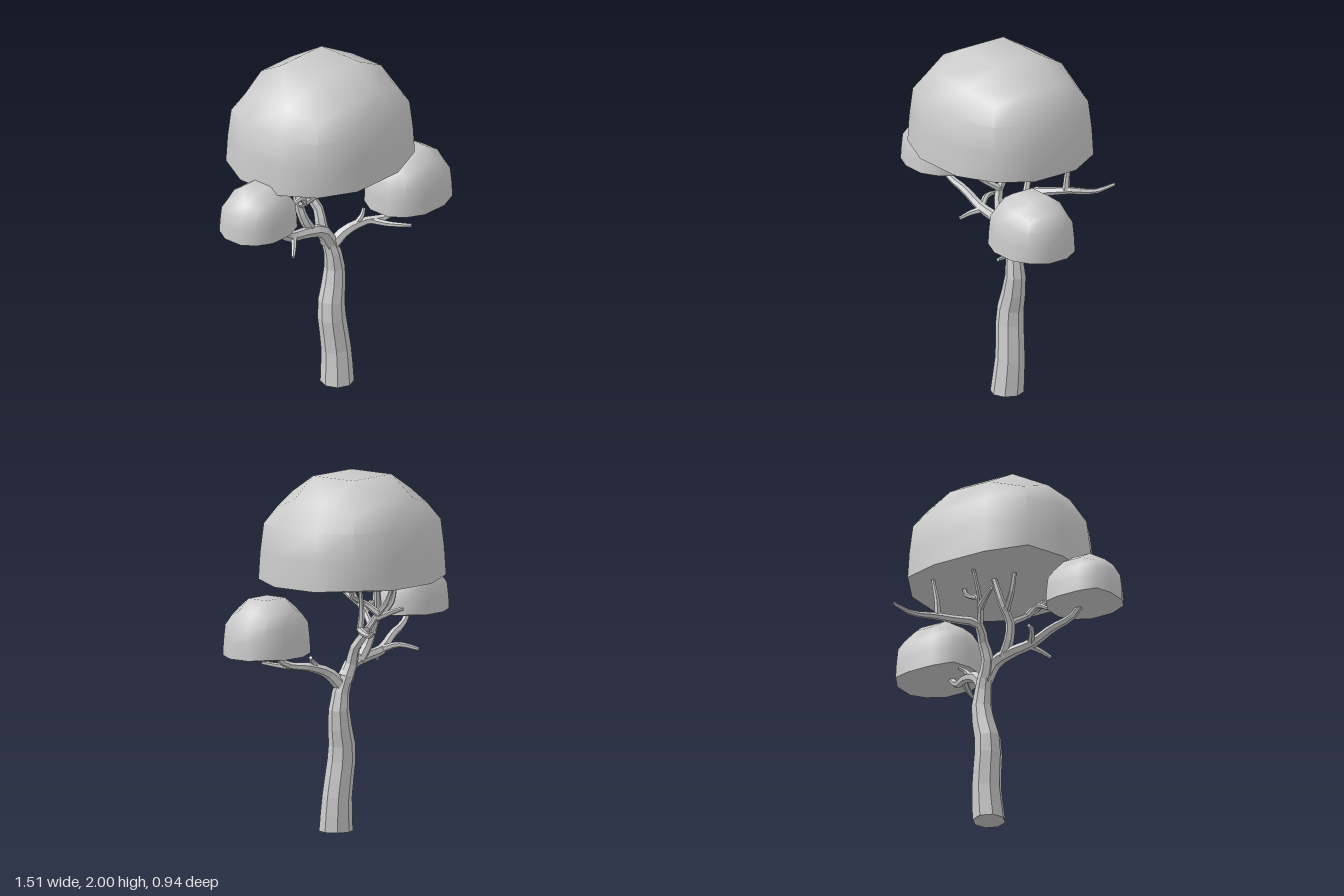
import * as THREE from 'three';
import { mergeVertices, toCreasedNormals } from 'three/addons/utils/BufferGeometryUtils.js';

const smooth = new THREE.MeshStandardMaterial({ color: 0xcccccc });
const faceted = new THREE.MeshStandardMaterial({ color: 0xcccccc, flatShading: true });

// Tapered limb through a few points; radii are spread evenly along its length
function limb(name, points, radii, sides = 6, segments = points.length * 2) {
  const group = new THREE.Group();
  group.name = name;
  const curve = new THREE.CatmullRomCurve3(points.map(p => new THREE.Vector3(...p)), false, 'centripetal');
  const radiusAt = u => {
    const f = u * (radii.length - 1), i = Math.min(Math.floor(f), radii.length - 2);
    return THREE.MathUtils.lerp(radii[i], radii[i + 1], f - i);
  };
  const geo = new THREE.TubeGeometry(curve, segments, 1, sides);
  const pos = geo.attributes.position, v = new THREE.Vector3();
  for (let i = 0; i < pos.count; i++) {
    const u = Math.floor(i / (sides + 1)) / segments;
    const centre = curve.getPointAt(u);
    v.fromBufferAttribute(pos, i).sub(centre).multiplyScalar(radiusAt(u)).add(centre);
    if (u === 0 && points[0][1] === 0) v.y = 0; // flat foot on the ground
    pos.setXYZ(i, v.x, v.y, v.z);
  }
  group.add(new THREE.Mesh(geo, faceted));

  // Blunt end
  const cap = new THREE.Mesh(new THREE.CircleGeometry(radii[radii.length - 1], sides), faceted);
  cap.position.copy(curve.getPointAt(1));
  cap.quaternion.setFromUnitVectors(new THREE.Vector3(0, 0, 1), curve.getTangentAt(1));
  group.add(cap);
  return group;
}

// Leaf dome: a 3x3x3 box rounded to a ball, its lower half flattened and widened
function canopy(name, [x0, x1], [y0, y1], [z0, z1]) {
  let geo = new THREE.BoxGeometry(2, 2, 2, 3, 3, 3);
  geo.deleteAttribute('uv');
  geo.deleteAttribute('normal');
  geo = mergeVertices(geo);
  const pos = geo.attributes.position, n = new THREE.Vector3();
  for (let i = 0; i < pos.count; i++) {
    n.fromBufferAttribute(pos, i);
    const row = Math.round((n.y + 1) * 1.5);
    const corner = Math.abs(n.x) > 0.9 && Math.abs(n.z) > 0.9;
    n.normalize();
    const spread = [corner ? 1.25 : 1.315, corner ? 1.03 : 0.99, corner ? 0.99 : 0.95, 1][row] / 0.905;
    const height = [(0.905 + n.y) * 0.22, 0.32, 0.58, 1 - (0.905 - n.y) * 0.82][row];
    pos.setXYZ(i,
      (x0 + x1) / 2 + n.x * spread * (x1 - x0) / 2,
      y0 + height * (y1 - y0),
      (z0 + z1) / 2 + n.z * spread * (z1 - z0) / 2);
  }
  const mesh = new THREE.Mesh(toCreasedNormals(geo, 0.8), smooth);
  mesh.name = name;
  return mesh;
}

export function createModel() {
  const tree = new THREE.Group();
  tree.name = 'tree';

  // Leaves
  tree.add(
    canopy('mainCanopy', [-0.51, 0.49], [1.38, 2], [-0.41, 0.465]),
    canopy('leftCanopy', [0.275, 0.755], [1.01, 1.35], [0.01, 0.41]),
    canopy('rightCanopy', [-0.755, -0.335], [1.155, 1.445], [-0.125, 0.23]));

  // Trunk with its foot
  tree.add(limb('trunk',
    [[0.093, 0, 0.06], [0.1, 0.2, 0.045], [0.078, 0.46, 0.028], [0.115, 0.66, 0.02], [0.1, 0.8, 0.015], [0.08, 0.88, 0]],
    [0.095, 0.083, 0.079, 0.062, 0.04], 8, 9));
  const foot = new THREE.Mesh(new THREE.CircleGeometry(0.093, 8).rotateX(Math.PI / 2), faceted);
  foot.name = 'trunkFoot';
  foot.position.set(0.093, 0.001, 0.06);
  tree.add(foot);

  // Main boughs
  const boughs = {
    leftBough: [[[0.1, 0.82, 0.01], [0.17, 0.9, 0.05], [0.27, 0.94, 0.1], [0.38, 0.96, 0.18], [0.46, 1.04, 0.22]], [0.04, 0.025, 0.016]],
    rightBough: [[[0.09, 0.84, 0.01], [0.02, 0.94, 0.01], [-0.1, 0.97, 0], [-0.23, 0.99, 0], [-0.35, 1.06, 0.02], [-0.47, 1.11, 0.04], [-0.54, 1.2, 0.05]], [0.045, 0.032, 0.025, 0.015]],
    backBough: [[[0.08, 0.85, 0], [0.05, 0.95, -0.02], [0.06, 1.04, -0.05], [0.05, 1.13, -0.12], [0.16, 1.16, -0.19], [0.25, 1.18, -0.25], [0.33, 1.17, -0.38], [0.39, 1.21, -0.47]], [0.042, 0.03, 0.025, 0.019, 0.009]],
    centreBough: [[[-0.04, 0.95, 0], [-0.09, 1.04, -0.02], [-0.11, 1.13, -0.04], [-0.09, 1.23, -0.09], [-0.05, 1.4, -0.12]], [0.032, 0.024, 0.015]],
  };
  for (const [name, [points, radii]] of Object.entries(boughs)) tree.add(limb(name, points, radii));

  // Twigs growing from the boughs
  const twigs = [
    [[0.3, 0.945, 0.12], [0.34, 0.94, 0.22], [0.39, 0.955, 0.35]],
    [[0.22, 0.92, 0.07], [0.26, 0.97, 0.09], [0.3, 1.0, 0.07]],
    [[-0.2, 0.985, 0], [-0.25, 0.96, 0.05], [-0.3, 0.92, 0.09]],
    [[-0.22, 0.99, 0], [-0.28, 1.02, -0.08], [-0.33, 1.0, -0.19]],
    [[-0.1, 1.13, -0.04], [-0.16, 1.2, 0.06], [-0.18, 1.29, 0.16], [-0.24, 1.39, 0.24]],
    [[-0.16, 1.2, 0.06], [-0.22, 1.25, 0.07], [-0.3, 1.21, 0.06]],
    [[-0.17, 1.25, 0.11], [-0.15, 1.31, 0.2], [-0.12, 1.4, 0.3]],
    [[-0.1, 1.19, -0.07], [-0.17, 1.27, -0.12], [-0.2, 1.4, -0.13]],
    [[0.05, 1.11, -0.1], [0.01, 1.22, -0.16], [-0.01, 1.3, -0.22], [-0.01, 1.41, -0.27]],
    [[0.01, 1.21, -0.16], [-0.06, 1.24, -0.21], [-0.12, 1.26, -0.25]],
    [[0.01, 1.24, -0.18], [0.06, 1.3, -0.12], [0.14, 1.34, -0.1], [0.16, 1.4, -0.1]],
    [[0.24, 1.18, -0.24], [0.24, 1.27, -0.25], [0.26, 1.4, -0.26]],
  ];
  twigs.forEach((points, i) => tree.add(limb('twig' + (i + 1), points, [0.021, 0.016, 0.011])));

  return tree;
}
